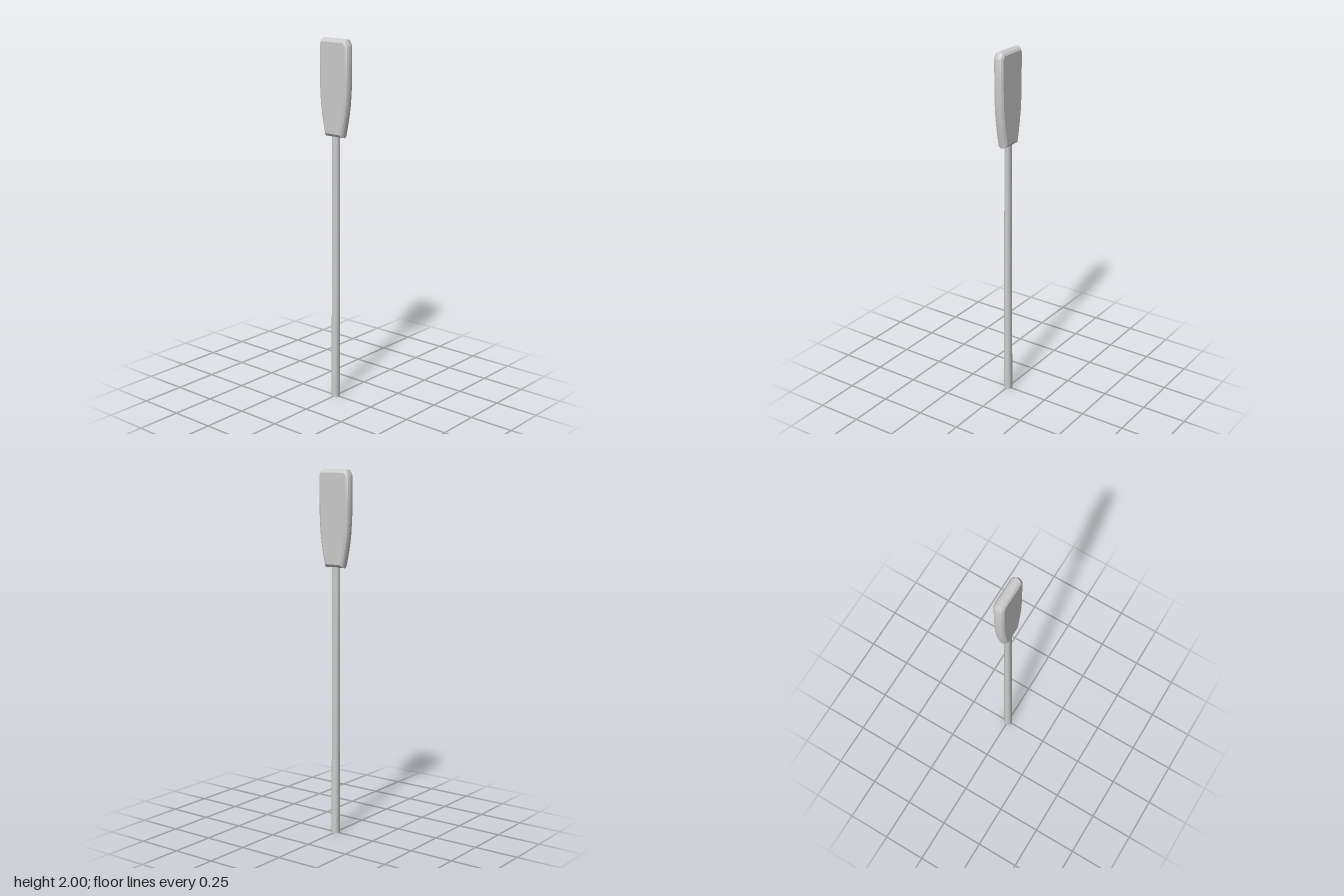
import * as THREE from 'three';
import { toCreasedNormals } from 'three/addons/utils/BufferGeometryUtils.js';

const material = new THREE.MeshStandardMaterial({ color: 0xcccccc });

// Right half of the blade outline, bottom to top
const half = [[0.061, 1.48], [0.074, 1.54], [0.085, 1.6], [0.093, 1.66], [0.098, 1.73],
  [0.1, 1.8], [0.1, 1.968], [0.083, 2]];
// Edge section of the blade: [z, inset]
const edge = [[0, 0], [0.01, 0.002], [0.021, 0.007], [0.029, 0.018]];

// Moves every corner of a convex counter-clockwise outline inwards by d
function inset(points, d) {
  const n = points.length;
  return points.map((p, i) => {
    const a = p.clone().sub(points[(i + n - 1) % n]).normalize();
    const b = points[(i + 1) % n].clone().sub(p).normalize();
    const na = new THREE.Vector2(-a.y, a.x);
    const nb = new THREE.Vector2(-b.y, b.x);
    return na.clone().add(nb).multiplyScalar(d / (1 + na.dot(nb))).add(p);
  });
}

// Stacks inset outlines from back to front and closes both faces
function bladeGeometry() {
  const outline = [...half, ...half.map(([x, y]) => [-x, y]).reverse()]
    .map(([x, y]) => new THREE.Vector2(x, y));
  const n = outline.length;
  const section = [...edge.slice(1).reverse().map(([z, d]) => [-z, d]), ...edge];
  const positions = [];
  for (const [z, d] of section) {
    for (const p of inset(outline, d)) positions.push(p.x, p.y, z);
  }
  const index = [];
  for (let r = 0; r < section.length - 1; r++) {
    for (let i = 0; i < n; i++) {
      const a = r * n + i, b = r * n + (i + 1) % n;
      index.push(a, b, b + n, a, b + n, a + n);
    }
  }
  const front = (section.length - 1) * n;
  for (let i = 1; i < n - 1; i++) {
    index.push(front, front + i, front + i + 1, 0, i + 1, i);
  }
  const geometry = new THREE.BufferGeometry();
  geometry.setAttribute('position', new THREE.Float32BufferAttribute(positions, 3));
  geometry.setIndex(index);
  return toCreasedNormals(geometry, 0.5);
}

// Round shaft whose depth narrows towards the blade
function shaftGeometry() {
  const height = 1.5;
  const geometry = new THREE.CylinderGeometry(0.023, 0.023, height, 16);
  geometry.translate(0, height / 2, 0);
  const pos = geometry.attributes.position;
  for (let i = 0; i < pos.count; i++) {
    pos.setZ(i, pos.getZ(i) * THREE.MathUtils.lerp(1.1, 0.77, pos.getY(i) / height));
  }
  geometry.computeVertexNormals();
  return toCreasedNormals(geometry, 0.7);
}

export function createModel() {
  const group = new THREE.Group();
  group.name = 'paddle';
  const parts = { blade: bladeGeometry(), shaft: shaftGeometry() };
  for (const [name, geometry] of Object.entries(parts)) {
    const mesh = new THREE.Mesh(geometry, material);
    mesh.name = name;
    group.add(mesh);
  }
  return group;
}
